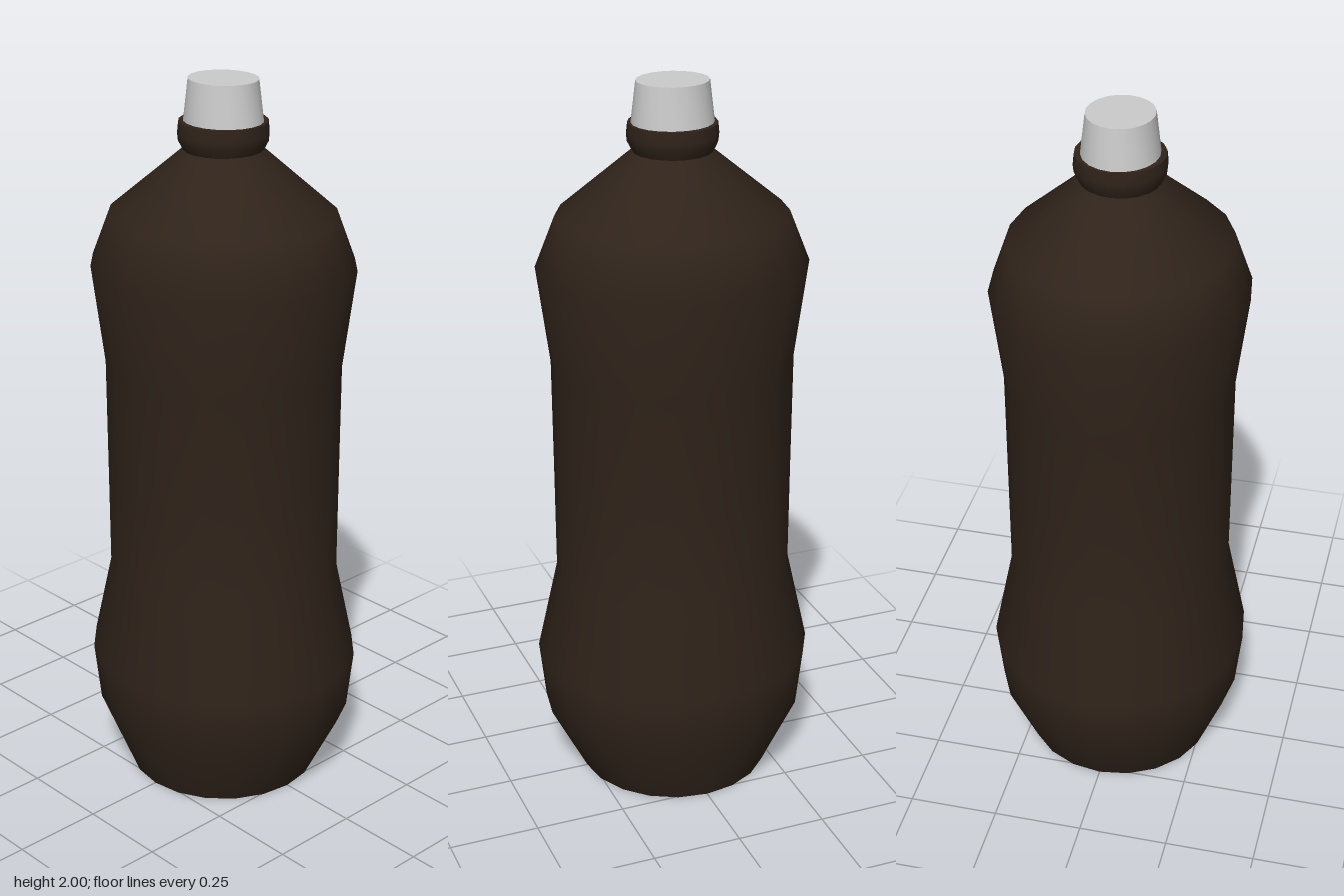
import * as THREE from 'three';
import { mergeVertices } from 'three/addons/utils/BufferGeometryUtils.js';

const SIDES = 20;

// Smooth surface through elliptical rings [halfWidth, y, halfDepth], bottom to top
function ringSurface(rings) {
  const lathe = new THREE.LatheGeometry(rings.map(([rx, y]) => new THREE.Vector2(rx, y)), SIDES);
  const pos = lathe.attributes.position;
  for (let i = 0; i < pos.count; i++) {
    const [rx, , rz] = rings[i % rings.length];
    if (rx > 0) pos.setZ(i, pos.getZ(i) * rz / rx);
  }
  lathe.deleteAttribute('normal');
  lathe.deleteAttribute('uv');
  const geometry = mergeVertices(lathe, 1e-5);
  geometry.computeVertexNormals();
  return geometry;
}

export function createModel() {
  const model = new THREE.Group();
  model.name = 'bottle';
  const plastic = new THREE.MeshStandardMaterial({ color: 0x2f231a });
  const grey = new THREE.MeshStandardMaterial({ color: 0xcccccc });

  const add = (name, material, rings) => {
    const mesh = new THREE.Mesh(ringSurface(rings), material);
    mesh.name = name;
    model.add(mesh);
  };

  // Flat underside
  add('base', plastic, [[0, 0, 0], [0.267, 0, 0.267]]);

  // Body with a bulged foot, narrow grip and sloping shoulder
  add('body', plastic, [
    [0.267, 0, 0.267],
    [0.369, 0.2, 0.345],
    [0.387, 0.365, 0.363],
    [0.329, 0.625, 0.31],
    [0.33, 0.91, 0.311],
    [0.332, 1.235, 0.312],
    [0.368, 1.505, 0.345],
    [0.312, 1.645, 0.296],
    [0.106, 1.815, 0.106],
  ]);

  // Rounded collar under the cap, with its flat upper rim
  add('neckCollar', plastic, [
    [0.106, 1.815, 0.106],
    [0.119, 1.84, 0.119],
    [0.121, 1.86, 0.121],
    [0.118, 1.89, 0.118],
  ]);
  add('neckRim', plastic, [[0.118, 1.89, 0.118], [0.09, 1.89, 0.085]]);

  // Tapered cap and its flat top
  add('capSide', grey, [[0.11, 1.89, 0.102], [0.097, 2, 0.089]]);
  add('capTop', grey, [[0.097, 2, 0.089], [0, 2, 0]]);

  return model;
}
